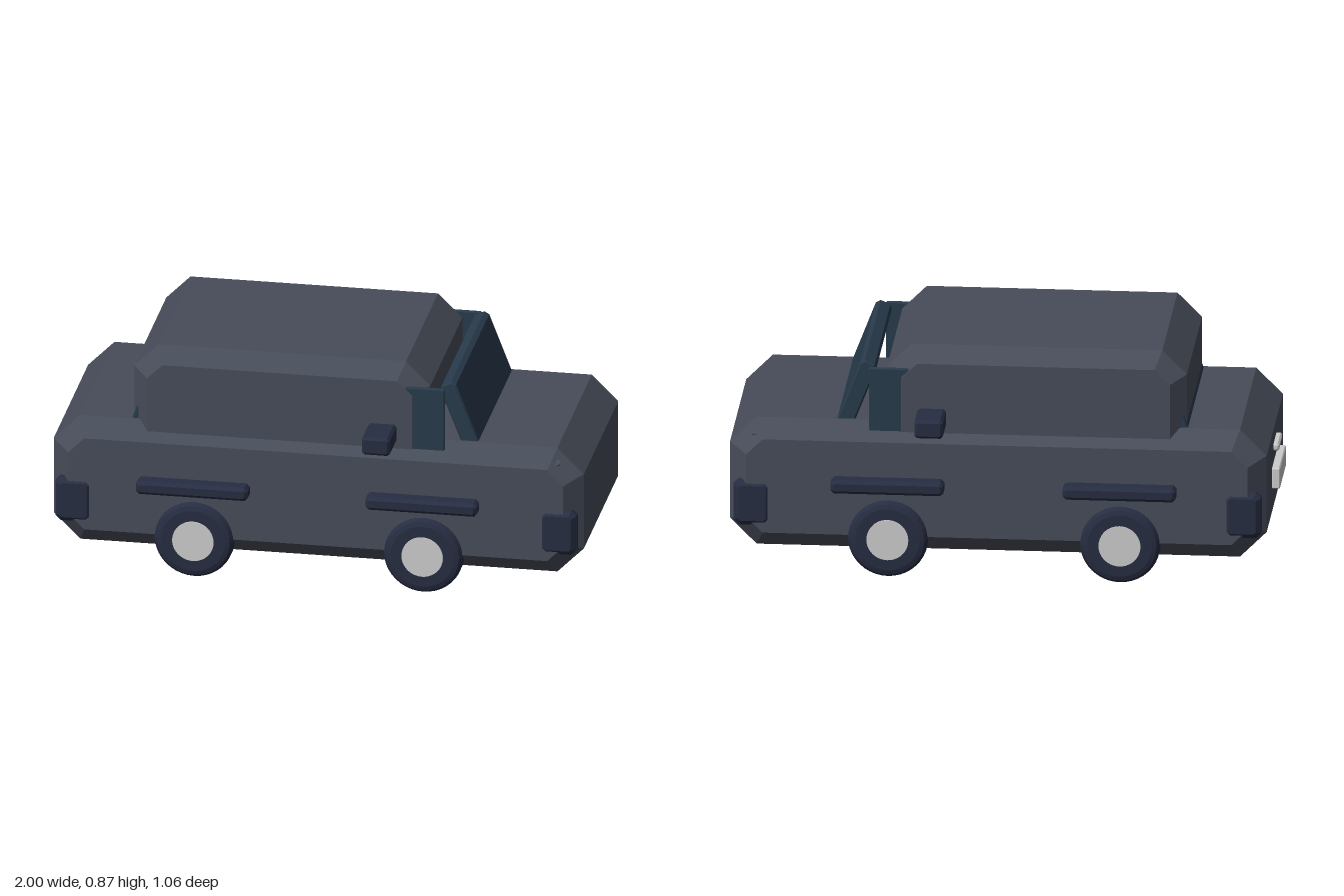
import * as THREE from 'three';

const mat = (color) => new THREE.MeshStandardMaterial({ color, flatShading: true });
const paint = mat(0x474c59);
const trim = mat(0x272d42);
const glass = mat(0x283a4b);
const metal = mat(0xcccccc);

function add(parent, name, geometry, material, x = 0, y = 0, z = 0) {
  const mesh = new THREE.Mesh(geometry, material);
  mesh.name = name;
  mesh.position.set(x, y, z);
  parent.add(mesh);
  return mesh;
}

// Side profile (x, y) extruded across z, with a single chamfer on both flanks
function slab(points, halfWidth, bevel) {
  const shape = new THREE.Shape(points.map(([x, y]) => new THREE.Vector2(x, y)));
  const depth = 2 * (halfWidth - bevel);
  const geometry = new THREE.ExtrudeGeometry(shape, {
    depth, bevelEnabled: true, bevelSegments: 1,
    bevelSize: bevel, bevelThickness: bevel, bevelOffset: -bevel,
  });
  return geometry.translate(0, 0, -depth / 2);
}

// Rectangle with cut corners
const octagon = (x0, x1, y0, y1, c) => [
  [x0 + c, y0], [x1 - c, y0], [x1, y0 + c], [x1, y1 - c],
  [x1 - c, y1], [x0 + c, y1], [x0, y1 - c], [x0, y0 + c],
];

// Small chamfered block centred on the origin
function block(w, h, d, c) {
  return slab(octagon(-w / 2, w / 2, -h / 2, h / 2, c), d / 2, c);
}

export function createModel() {
  const car = new THREE.Group();
  car.name = 'car';

  // Body and cabin
  add(car, 'body', slab(octagon(-0.97, 1, 0.09, 0.58, 0.098), 0.42, 0.065), paint);
  add(car, 'cabin', slab(octagon(-0.675, 0.425, 0.42, 0.87, 0.09), 0.388, 0.058), paint);

  // Sloping front and rear glass
  add(car, 'windscreen', slab(
    [[0.555, 0.54], [0.622, 0.54], [0.523, 0.797], [0.505, 0.807], [0.47, 0.79], [0.465, 0.77]],
    0.348, 0.006), glass);
  add(car, 'rearWindow', slab(
    [[-0.695, 0.54], [-0.63, 0.54], [-0.54, 0.78], [-0.6, 0.8]], 0.348, 0.006), glass);

  for (const side of [1, -1]) {
    const label = side > 0 ? 'left' : 'right';
    const flank = new THREE.Group();
    flank.name = side > 0 ? 'nearSide' : 'farSide';
    car.add(flank);

    // Quarter window and door mirror
    add(flank, 'sideWindow', block(0.25, 0.3, 0.016, 0.004), glass, 0.363, 0.64, side * 0.378);
    add(flank, 'mirror', block(0.105, 0.07, 0.155, 0.01), trim, 0.257, 0.605, side * 0.453);

    for (const [x, end] of [[-0.437, 'rear'], [0.415, 'front']]) {
      // Wheel: tyre with rounded shoulders and a pale hub
      const wheel = new THREE.Group();
      wheel.name = end + 'Wheel';
      wheel.position.set(x, 0.147, side * 0.393);
      flank.add(wheel);
      const profile = [[0, -0.048], [0.118, -0.048], [0.135, -0.042], [0.147, -0.025],
        [0.147, 0.025], [0.135, 0.042], [0.118, 0.048], [0, 0.048]]
        .map(([r, h]) => new THREE.Vector2(r, h));
      add(wheel, 'tyre', new THREE.LatheGeometry(profile, 40).rotateX(Math.PI / 2), trim);
      add(wheel, 'hub', new THREE.CylinderGeometry(0.077, 0.077, 0.106, 40).rotateX(Math.PI / 2), metal);

      // Trim strip above the wheel
      add(flank, end + 'TrimStrip', block(0.415, 0.052, 0.1, 0.012), trim, x, 0.355, side * 0.426);
    }

    // Wrap-around corner lamps
    add(flank, 'frontCornerLamp', block(0.14, 0.175, 0.06, 0.02), trim, 0.913, 0.268, side * 0.397);
    add(flank, 'rearCornerLamp', block(0.14, 0.175, 0.06, 0.02), trim, -0.885, 0.268, side * 0.397);

    // Small washer nozzle on the bonnet edge
    const nozzle = add(flank, 'nozzle', new THREE.CylinderGeometry(0.012, 0.012, 0.01, 12), paint,
      0.905, 0.53, side * 0.384);
    nozzle.rotation.x = side * Math.PI / 4;
  }

  // Tail plate and boot handle
  add(car, 'tailPlate', block(0.03, 0.08, 0.27, 0.004), metal, -0.985, 0.32, 0);
  add(car, 'bootHandle', block(0.025, 0.026, 0.14, 0.006), metal, -0.979, 0.418, 0);

  return car;
}
